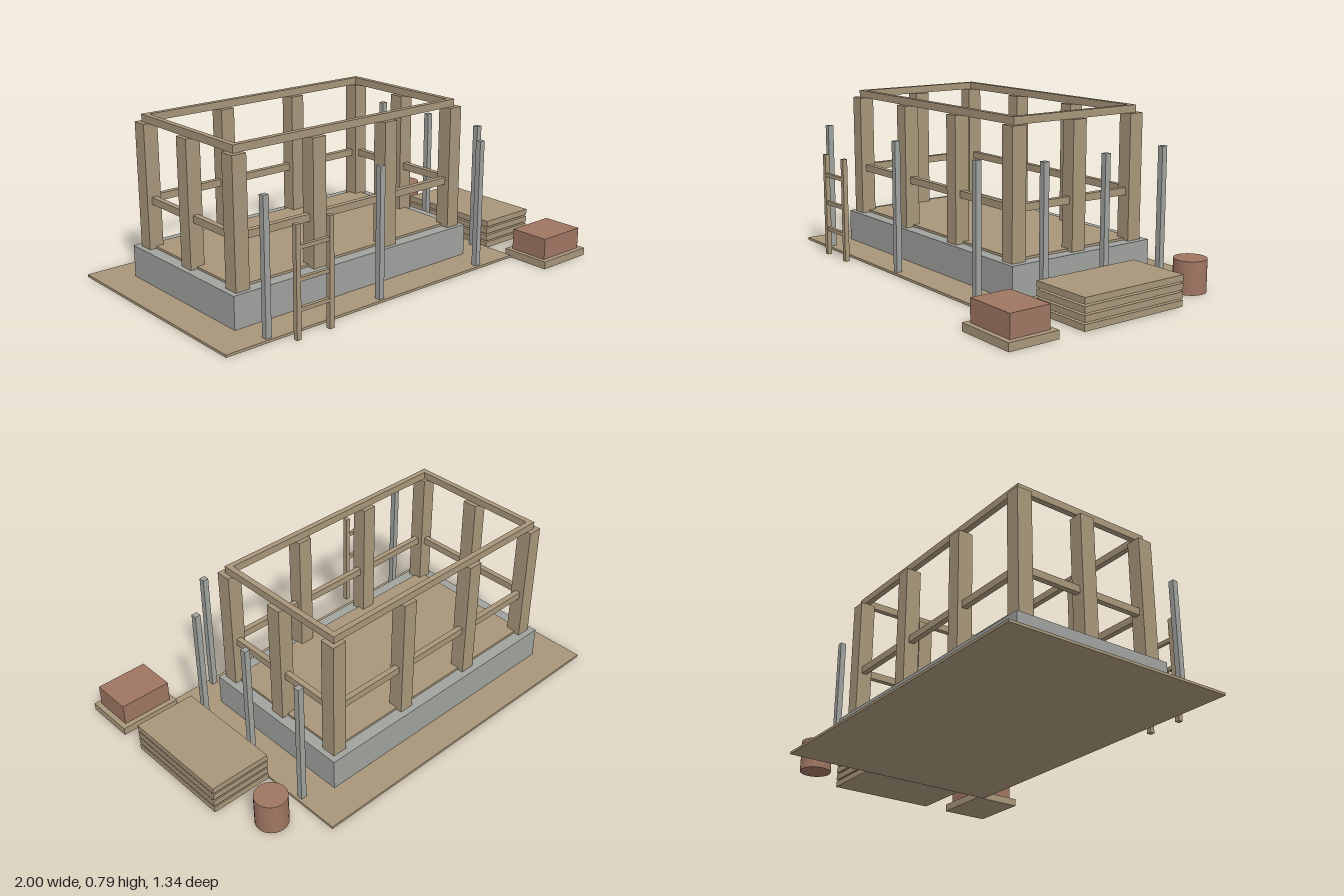
import * as THREE from 'three';

const mat = (name, color) => {
  const m = new THREE.MeshStandardMaterial({ color });
  m.name = name;
  return m;
};

export function createModel() {
  const timber = mat('timber', 0xa8967a);
  const grey = mat('concreteGrey', 0xa0a29e);
  const clay = mat('clay', 0x9f7662);
  const model = new THREE.Group();
  model.name = 'buildingSite';

  const group = (name) => {
    const g = new THREE.Group();
    g.name = name;
    model.add(g);
    return g;
  };
  // Box given by its min and max on each axis
  const box = (parent, name, m, [x0, x1], [y0, y1], [z0, z1]) => {
    const mesh = new THREE.Mesh(new THREE.BoxGeometry(x1 - x0, y1 - y0, z1 - z0), m);
    mesh.position.set((x0 + x1) / 2, (y0 + y1) / 2, (z0 + z1) / 2);
    mesh.name = name;
    parent.add(mesh);
  };
  const around = (c, w) => [c - w / 2, c + w / 2];

  // Ground, foundation and floor
  box(model, 'groundSlab', timber, [-1, 0.697], [0, 0.012], [-0.67, 0.455]);
  box(model, 'foundation', grey, [-0.84, 0.535], [0.012, 0.165], [-0.508, 0.29]);
  box(model, 'floor', timber, [-0.782, 0.478], [0.165, 0.176], [-0.45, 0.23]);

  // Timber frame: posts around the edge
  const frame = group('timberFrame');
  const xs = [-0.779, -0.361, 0.056, 0.472];
  const zs = [-0.441, -0.103, 0.233];
  xs.forEach((x, i) => zs.forEach((z, j) => {
    if (j === 1 && i > 0 && i < 3) return;
    box(frame, 'post', timber, around(x, 0.071), [0.165, 0.757], around(z, 0.074));
  }));

  // Middle rails and top plates on all four sides
  const X = [-0.792, 0.485], Z = [-0.457, 0.245], t = 0.027;
  for (const z of [Z[0] + t / 2, Z[1] - t / 2]) {
    box(frame, 'topPlate', timber, X, [0.757, 0.792], around(z, t));
    box(frame, 'middleRail', timber, [xs[0], xs[3]], [0.38, 0.414], around(z, t));
  }
  for (const x of [X[0] + t / 2, X[1] - t / 2]) {
    box(frame, 'topPlate', timber, around(x, t), [0.757, 0.792], [Z[0] + t, Z[1] - t]);
    box(frame, 'middleRail', timber, around(x, t), [0.38, 0.414], [zs[0], zs[2]]);
  }

  // Scaffold poles along the front and the left side
  const poles = group('scaffoldPoles');
  const pole = (x, z) => box(poles, 'pole', grey, around(x, 0.028), [0.012, 0.628], around(z, 0.028));
  for (const x of [-0.779, -0.153, 0.473]) pole(x, 0.43);
  for (const z of [-0.447, -0.108, 0.23]) pole(0.67, z);

  // Ladder
  const ladder = group('ladder');
  for (const x of [-0.679, -0.503])
    box(ladder, 'ladderRail', timber, around(x, 0.023), [0, 0.503], around(0.507, 0.023));
  for (const y of [0.131, 0.263, 0.402])
    box(ladder, 'rung', timber, [-0.668, -0.514], around(y, 0.018), around(0.507, 0.018));

  // Stacked boards
  const boards = group('boardStack');
  for (let i = 0; i < 4; i++)
    box(boards, 'board', timber, [0.7, 1], [0.003 + i * 0.037, 0.032 + i * 0.037], [-0.256, 0.292]);

  // Bricks on a pallet
  const bricks = group('brickPallet');
  box(bricks, 'pallet', timber, [0.7, 1], [0, 0.037], [0.42, 0.667]);
  box(bricks, 'brickBlock', clay, [0.722, 0.975], [0.037, 0.14], [0.445, 0.643]);

  // Drum
  const drum = new THREE.Mesh(new THREE.CylinderGeometry(0.075, 0.075, 0.152, 32), clay);
  drum.name = 'drum';
  drum.position.set(0.849, 0.076, -0.456);
  model.add(drum);

  return model;
}
